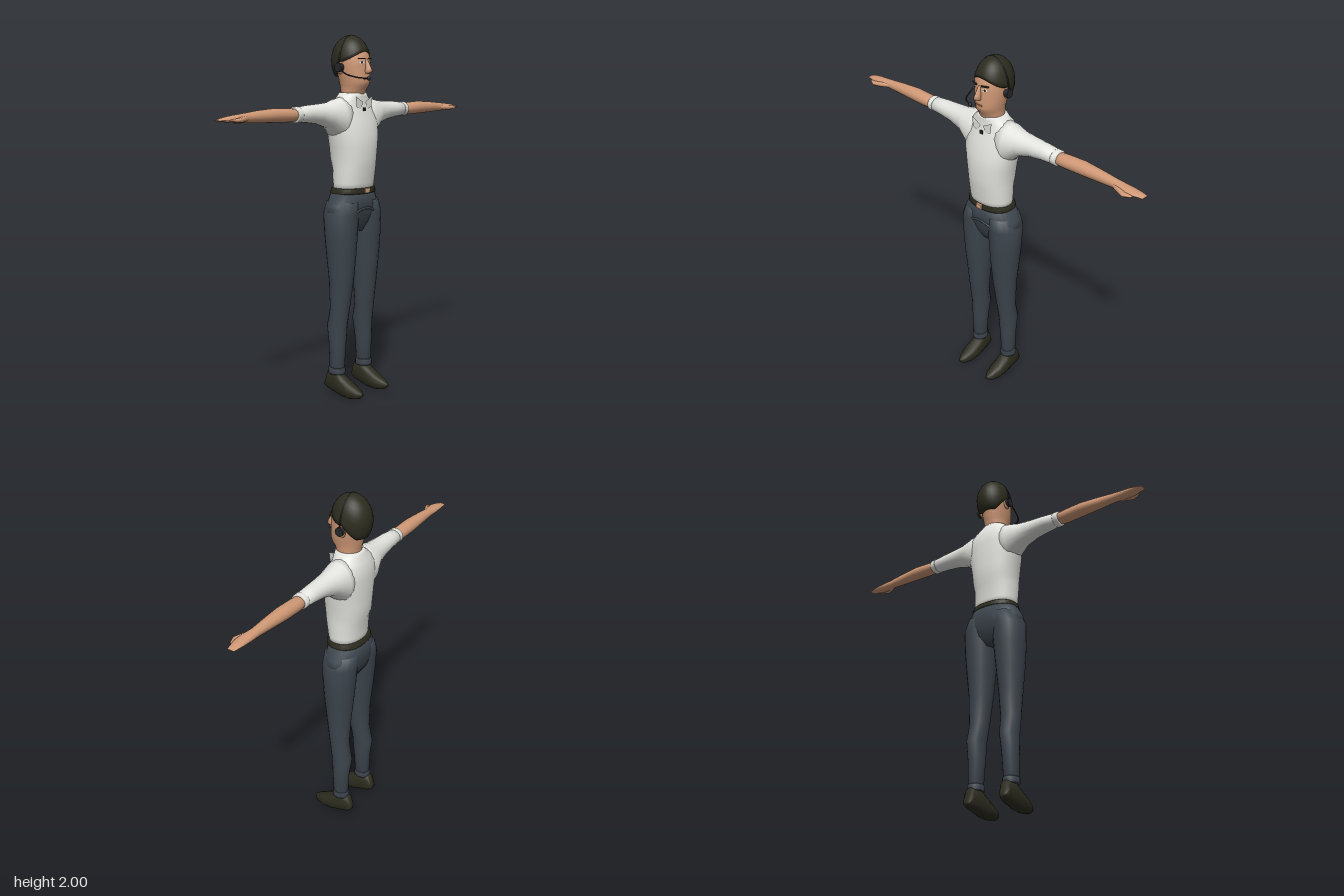
import * as THREE from 'three';

const mat = (name, color, side = THREE.FrontSide) => {
  const m = new THREE.MeshStandardMaterial({ color, side });
  m.name = name;
  return m;
};

// Closed skin over a list of equal rings, capped at both ends
function skin(rings, flip) {
  const n = rings[0].length, pos = [], idx = [];
  const tri = (a, b, c) => (flip ? idx.push(a, c, b) : idx.push(a, b, c));
  rings.forEach(r => r.forEach(p => pos.push(...p)));
  const last = rings.length - 1;
  for (let r = 0; r < last; r++) for (let i = 0; i < n; i++) {
    const a = r * n + i, b = r * n + (i + 1) % n;
    tri(a, a + n, b);
    tri(b, a + n, b + n);
  }
  [0, last].forEach(r => {
    const c = pos.length / 3;
    pos.push(...[0, 1, 2].map(k => rings[r].reduce((s, p) => s + p[k], 0) / n));
    for (let i = 0; i < n; i++) {
      const a = r * n + i, b = r * n + (i + 1) % n;
      r ? tri(c, b, a) : tri(c, a, b);
    }
  });
  const g = new THREE.BufferGeometry();
  g.setAttribute('position', new THREE.Float32BufferAttribute(pos, 3));
  g.setIndex(idx);
  g.computeVertexNormals();
  return g;
}

// Rows are [distance along axis, u min, u max, v min, v max]
function loft(rows, { axis = 'y', side = 1, n = 20, power = 1 } = {}) {
  const soft = v => Math.sign(v) * Math.abs(v) ** power;
  const rings = rows.map(([t, u0, u1, v0, v1]) => Array.from({ length: n }, (_, i) => {
    const a = i / n * Math.PI * 2;
    const u = (u0 + u1) / 2 + (u1 - u0) / 2 * soft(Math.cos(a));
    const v = (v0 + v1) / 2 + (v1 - v0) / 2 * soft(Math.sin(a));
    const p = axis === 'y' ? [u, t, v] : axis === 'x' ? [t, u, v] : [u, v, t];
    return [p[0] * side, p[1], p[2]];
  }));
  return skin(rings, (axis !== 'y') !== (side < 0));
}

// Rows symmetric in x: [y, half width, z back, z front]
const body = (rows, opt) => loft(rows.map(([y, w, b, f]) => [y, -w, w, b, f]), opt);

export function createModel() {
  const group = new THREE.Group();
  const shirt = mat('shirt white', 0xe4e4e0, THREE.DoubleSide);
  const trousers = mat('trouser blue grey', 0x3c444c);
  const skinTone = mat('skin', 0xcf9875);
  const dark = mat('hair and leather', 0x2c2c1f);
  const plastic = mat('headset black', 0x26262a);
  const white = mat('eye white', 0xe8e4dc);
  const lip = mat('lips', 0xa5654f);
  const brass = mat('buckle', 0xd0a27c);
  const add = (name, geo, m, x = 0, y = 0, z = 0) => {
    const mesh = new THREE.Mesh(geo, m);
    mesh.name = name;
    mesh.position.set(x, y, z);
    group.add(mesh);
    return mesh;
  };

  // Head and neck
  add('head', body([
    [1.62, 0.064, -0.07, 0.03], [1.68, 0.067, -0.08, 0.052], [1.71, 0.068, -0.085, 0.062],
    [1.728, 0.07, -0.09, 0.08], [1.75, 0.075, -0.095, 0.085], [1.78, 0.08, -0.1, 0.085],
    [1.83, 0.086, -0.11, 0.082], [1.88, 0.088, -0.115, 0.08], [1.92, 0.08, -0.11, 0.062],
    [1.96, 0.055, -0.08, 0.03]], { n: 28 }), skinTone);
  add('nose', body([[1.793, 0.012, 0.07, 0.095], [1.803, 0.017, 0.07, 0.12],
    [1.82, 0.014, 0.07, 0.113], [1.87, 0.007, 0.065, 0.085]], { n: 10 }), skinTone);
  add('mouth', new THREE.BoxGeometry(0.042, 0.009, 0.008), lip, 0, 1.763, 0.083);

  // Close-cropped hair, high on the forehead and low at the nape
  const hairRings = [];
  for (let r = 0; r <= 11; r++) {
    hairRings.push(Array.from({ length: 32 }, (_, i) => {
      const a = i / 32 * Math.PI * 2, s = Math.sin(a);
      const edge = s > 0 ? 1.855 + 0.055 * s * s : 1.855 - 0.078 * Math.min(1, -s * 1.5);
      const th = Math.acos((edge - 1.86) / 0.138) * Math.max(0.04, Math.min(r, 10) / 10);
      const k = Math.sin(th) * (r === 11 ? 0.8 : 1);
      return [0.098 * k * Math.cos(a), 1.86 + 0.138 * Math.cos(th), -0.032 + 0.113 * k * s];
    }));
  }
  add('hair', skin(hairRings, true), dark);

  // Shirt body
  add('shirtBody', body([
    [1.15, 0.125, -0.1, 0.075], [1.2, 0.129, -0.105, 0.084], [1.29, 0.131, -0.112, 0.098],
    [1.33, 0.134, -0.126, 0.102], [1.4, 0.143, -0.129, 0.105], [1.47, 0.158, -0.13, 0.1],
    [1.55, 0.168, -0.13, 0.08], [1.6, 0.158, -0.124, 0.063], [1.64, 0.128, -0.11, 0.054],
    [1.67, 0.092, -0.094, 0.054], [1.69, 0.076, -0.086, 0.052]], { n: 28, power: 0.9 }), shirt);
  add('collarButton', new THREE.BoxGeometry(0.018, 0.018, 0.008), plastic, 0, 1.602, 0.067);

  // Belt and buckle
  add('belt', body([[1.143, 0.137, -0.116, 0.083], [1.147, 0.14, -0.118, 0.085],
    [1.17, 0.135, -0.112, 0.085], [1.175, 0.13, -0.108, 0.081]], { n: 28, power: 0.85 }), dark);
  add('buckle', new THREE.BoxGeometry(0.04, 0.026, 0.009), brass, 0, 1.16, 0.087);

  // Trouser seat
  add('trouserSeat', body([[0.93, 0.07, -0.07, 0.035], [0.98, 0.14, -0.105, 0.06],
    [1.04, 0.186, -0.12, 0.077], [1.08, 0.176, -0.121, 0.08], [1.15, 0.137, -0.115, 0.08]],
    { n: 28, power: 0.88 }), trousers);
  add('trouserFold', new THREE.TubeGeometry(new THREE.QuadraticBezierCurve3(
    new THREE.Vector3(-0.08, 1.04, 0.07), new THREE.Vector3(0, 1.085, 0.088),
    new THREE.Vector3(0.08, 1.04, 0.07)), 12, 0.007, 6), trousers);

  for (const side of [1, -1]) {
    const label = side > 0 ? 'left' : 'right';
    const X = { axis: 'x', side }, Y = { side };

    // Leg, cuff and shoe
    add(label + 'Leg', loft([
      [0.14, 0.077, 0.154, -0.078, 0.008], [0.3, 0.066, 0.158, -0.085, 0.016],
      [0.4, 0.058, 0.16, -0.1, 0.022], [0.5, 0.05, 0.161, -0.077, 0.034],
      [0.66, 0.034, 0.167, -0.085, 0.056], [0.8, 0.02, 0.18, -0.1, 0.069],
      [0.92, 0.01, 0.188, -0.112, 0.077], [1.03, 0.002, 0.191, -0.12, 0.08],
      [1.1, 0.005, 0.162, -0.116, 0.078]], Y), trousers);
    add(label + 'Cuff', loft([[0.128, 0.073, 0.158, -0.083, 0.012], [0.132, 0.071, 0.16, -0.085, 0.014],
      [0.16, 0.071, 0.16, -0.085, 0.014], [0.165, 0.075, 0.156, -0.08, 0.01]], Y), trousers);
    add(label + 'Shoe', loft([
      [-0.11, 0.095, 0.14, 0.045, 0.07], [-0.088, 0.08, 0.15, 0.028, 0.14],
      [-0.03, 0.073, 0.154, 0.012, 0.15], [0.012, 0.07, 0.156, 0.002, 0.12],
      [0.07, 0.07, 0.155, 0, 0.085], [0.122, 0.085, 0.138, 0.008, 0.06],
      [0.145, 0.1, 0.122, 0.025, 0.045]], { axis: 'z', side, n: 14, power: 0.85 }), dark);

    // Sleeve with hem
    add(label + 'Sleeve', loft([
      [0.06, 1.42, 1.675, -0.11, 0.06], [0.13, 1.44, 1.66, -0.118, 0.065],
      [0.2, 1.505, 1.642, -0.092, 0.042], [0.28, 1.53, 1.636, -0.08, 0.03],
      [0.36, 1.541, 1.632, -0.073, 0.024], [0.44, 1.547, 1.624, -0.067, 0.02]], X), shirt);
    add(label + 'SleeveHem', loft([[0.425, 1.547, 1.624, -0.067, 0.02], [0.43, 1.544, 1.628, -0.07, 0.023],
      [0.455, 1.544, 1.627, -0.069, 0.022], [0.46, 1.549, 1.621, -0.065, 0.018]], X), shirt);

    // Forearm, hand and thumb
    add(label + 'Arm', loft([
      [0.42, 1.555, 1.615, -0.06, 0.013], [0.5, 1.55, 1.621, -0.065, 0.015],
      [0.6, 1.553, 1.625, -0.066, 0.015], [0.72, 1.557, 1.618, -0.055, 0.008],
      [0.8, 1.561, 1.61, -0.049, 0.004], [0.86, 1.562, 1.605, -0.05, 0.014],
      [0.91, 1.567, 1.6, -0.05, 0.016], [0.95, 1.573, 1.592, -0.047, 0.006],
      [0.98, 1.577, 1.583, -0.042, 0]], X), skinTone);
    add(label + 'Thumb', loft([[0.79, 1.572, 1.598, -0.03, 0], [0.85, 1.566, 1.594, -0.01, 0.026],
      [0.89, 1.568, 1.59, 0.008, 0.042], [0.93, 1.574, 1.583, 0.002, 0.024]],
      { axis: 'x', side, n: 10 }), skinTone);

    // Collar flap
    const flap = new THREE.Shape([[0.008, 1.64], [0.07, 1.672], [0.062, 1.615], [0.03, 1.602]]
      .map(([x, y]) => new THREE.Vector2(x * side, y)));
    add(label + 'CollarFlap', new THREE.ShapeGeometry(flap), shirt, 0, 0, 0.064);

    // Eye and brow
    const eye = new THREE.Group();
    eye.name = label + 'Eye';
    eye.position.set(0.036 * side, 1.852, 0.077);
    eye.rotation.y = 0.42 * side;
    [['eyeWhite', 0.016, 0.007, 0, white], ['iris', 0.0065, 0.0065, 0.001, plastic]].forEach(([name, w, h, z, m]) => {
      const disc = new THREE.Mesh(new THREE.CircleGeometry(1, 16), m);
      disc.name = name;
      disc.scale.set(w, h, 1);
      disc.position.z = z;
      eye.add(disc);
    });
    const brow = new THREE.Mesh(new THREE.BoxGeometry(0.04, 0.007, 0.009), dark);
    brow.name = 'brow';
    brow.position.set(0, 0.02, -0.002);
    eye.add(brow);
    group.add(eye);

    // Ear and headset cup
    add(label + 'Ear', new THREE.SphereGeometry(1, 12, 8), skinTone, 0.089 * side, 1.822, -0.03)
      .scale.set(0.012, 0.034, 0.022);
    add(label + 'EarCup', new THREE.CylinderGeometry(0.024, 0.024, 0.024, 16), plastic,
      0.101 * side, 1.825, -0.026).rotation.z = Math.PI / 2;
  }

  // Headset band, microphone arm and tip
  const tube = pts => new THREE.TubeGeometry(
    new THREE.CatmullRomCurve3(pts.map(p => new THREE.Vector3(...p))), 32, 0.004, 6);
  add('headsetBand', tube(Array.from({ length: 13 }, (_, i) => {
    const a = i / 12 * Math.PI;
    return [0.107 * Math.cos(a), 1.825 + 0.171 * Math.sin(a), -0.026];
  })), plastic);
  add('microphoneArm', tube([[-0.11, 1.82, -0.02], [-0.108, 1.79, 0.03],
    [-0.085, 1.773, 0.09], [-0.03, 1.768, 0.118]]), plastic);
  add('microphoneTip', new THREE.SphereGeometry(0.011, 10, 8), plastic, -0.028, 1.768, 0.119);

  return group;
}
